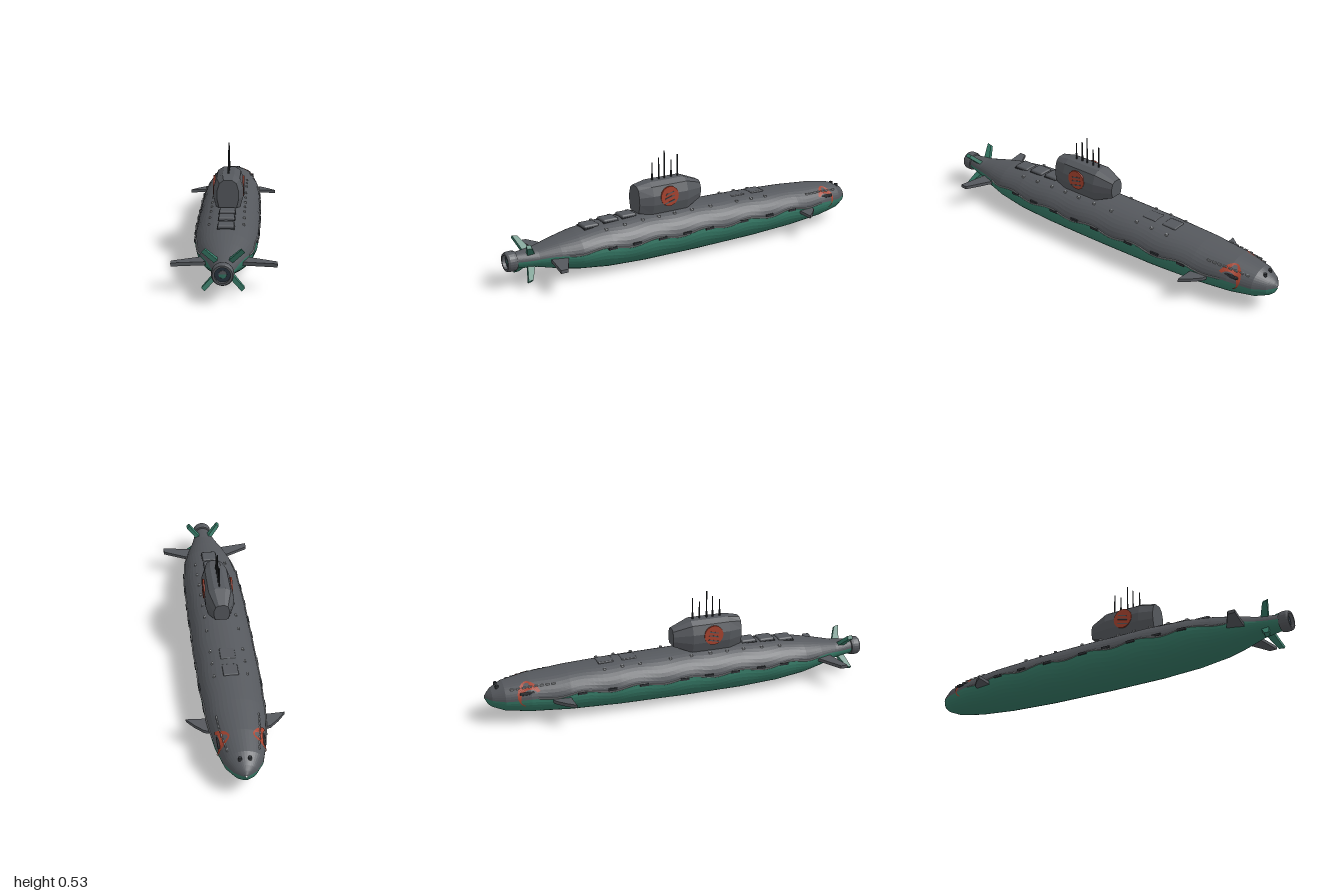
import * as THREE from 'three';
import { RoundedBoxGeometry } from 'three/addons/geometries/RoundedBoxGeometry.js';

const mat = (name, color, side = THREE.FrontSide) => {
  const m = new THREE.MeshStandardMaterial({ color, side });
  m.name = name;
  return m;
};

// Hull stations: z, half width, top, bottom
const STATIONS = [
  [-1, 0.004, 0.135, 0.122], [-0.985, 0.03, 0.152, 0.092], [-0.968, 0.053, 0.168, 0.078],
  [-0.91, 0.09, 0.197, 0.054], [-0.79, 0.12, 0.217, 0.035], [-0.6, 0.142, 0.231, 0.019],
  [-0.35, 0.152, 0.241, 0.008], [0, 0.153, 0.247, 0.002], [0.3, 0.152, 0.246, 0.003],
  [0.5, 0.145, 0.236, 0.012], [0.65, 0.126, 0.217, 0.03], [0.75, 0.1, 0.196, 0.051],
  [0.85, 0.066, 0.172, 0.077], [0.95, 0.04, 0.163, 0.087], [0.984, 0.017, 0.142, 0.108],
  [0.985, 0.0005, 0.1255, 0.1245],
];

function hullAt(z) {
  let i = 0;
  while (i < STATIONS.length - 2 && z > STATIONS[i + 1][0]) i++;
  const a = STATIONS[i], b = STATIONS[i + 1];
  const t = (z - a[0]) / (b[0] - a[0]);
  const [w, top, bottom] = [1, 2, 3].map(k => a[k] + (b[k] - a[k]) * t);
  return { w, cy: (top + bottom) / 2, h: (top - bottom) / 2 };
}
function sideX(y, z) {
  const { w, cy, h } = hullAt(z);
  return w * Math.sqrt(Math.max(0, 1 - ((y - cy) / h) ** 2));
}
function deckY(x, z) {
  const { w, cy, h } = hullAt(z);
  return cy + h * Math.sqrt(Math.max(0, 1 - (x / w) ** 2));
}
// Height of the wavy paint line
function paintY(z) {
  const e = 1 - THREE.MathUtils.smoothstep(Math.abs(z), 0.6, 0.95);
  return 0.126 + e * (0.012 + 0.009 * Math.cos((z * Math.PI * 2) / 0.27));
}

// Flat-shaded skin over rings of points running towards +z
function loft(rings, closed = false) {
  const pos = [];
  const n = rings[0].length;
  for (let i = 0; i < rings.length - 1; i++) {
    for (let j = 0; j < (closed ? n : n - 1); j++) {
      const k = (j + 1) % n;
      const a = rings[i][j], b = rings[i][k], c = rings[i + 1][k], d = rings[i + 1][j];
      pos.push(...a, ...b, ...c, ...a, ...c, ...d);
    }
  }
  const g = new THREE.BufferGeometry();
  g.setAttribute('position', new THREE.Float32BufferAttribute(pos, 3));
  g.computeVertexNormals();
  return g;
}

// Flat fin: outline in (span, z), thickness in y
function finGeometry(points, thickness) {
  const shape = new THREE.Shape(points.map(p => new THREE.Vector2(...p)));
  const g = new THREE.ExtrudeGeometry(shape, { depth: thickness, bevelEnabled: false });
  return g.translate(0, 0, -thickness / 2).rotateX(Math.PI / 2);
}

export function createModel() {
  const model = new THREE.Group();
  model.name = 'submarine';
  const grey = mat('hull grey', 0x55585d);
  const green = mat('lower hull green', 0x357865);
  const dark = mat('dark fittings', 0x2f3236);
  const navy = mat('nozzle navy', 0x27333d);
  const light = mat('light metal', 0x94979a);
  const red = mat('marking red', 0xa8432f, THREE.DoubleSide);
  const add = (name, geometry, material, x = 0, y = 0, z = 0) => {
    const m = new THREE.Mesh(geometry, material);
    m.name = name;
    m.position.set(x, y, z);
    model.add(m);
    return m;
  };

  // Hull, split along the paint line
  const zs = STATIONS.map(s => s[0]);
  for (let i = -38; i < 38; i++) zs.push(i * 0.025 + 0.0125);
  zs.sort((a, b) => a - b);
  const arcRings = upper => zs.map(z => {
    const { w, cy, h } = hullAt(z);
    const a = Math.asin(THREE.MathUtils.clamp((paintY(z) - cy) / h, -0.9, 0.9));
    const start = upper ? a : Math.PI - a;
    const span = upper ? Math.PI - 2 * a : Math.PI + 2 * a;
    return Array.from({ length: 21 }, (_, j) => {
      const t = start + (span * j) / 20;
      return [w * Math.cos(t), cy + h * Math.sin(t), z];
    });
  });
  add('upperHull', loft(arcRings(true)), grey);
  add('lowerHull', loft(arcRings(false)), green);

  // Propeller duct around the tail
  const duct = [[0.034, 0.95], [0.046, 0.952], [0.049, 0.965], [0.048, 0.99], [0.043, 1], [0.034, 1], [0.034, 0.95]];
  add('tailDuct', new THREE.LatheGeometry(duct.map(p => new THREE.Vector2(...p)).reverse(), 24)
    .rotateX(Math.PI / 2).toNonIndexed(), mat('duct grey', 0x55585d, THREE.DoubleSide), 0, 0.125, 0)
    .geometry.computeVertexNormals();
  add('ductInterior', new THREE.RingGeometry(0.015, 0.035, 24), navy, 0, 0.125, 0.983);

  // Sail from scaled cross-sections
  const half = [[0.058, 0.235], [0.072, 0.285], [0.072, 0.33], [0.056, 0.375], [0.028, 0.393]];
  const outline = [...half, ...half.map(([x, y]) => [-x, y]).reverse()];
  const sailRing = ([z, sx, sy]) => outline.map(([x, y]) => [x * sx, 0.312 + (y - 0.312) * sy, z]);
  add('sail', loft([[-0.05, 0, 0], [-0.05, 0.55, 0.55], [0.045, 1, 1], [0.24, 1, 1], [0.31, 0.72, 0.84], [0.31, 0, 0]]
    .map(sailRing), true), grey);

  // Masts
  [[0.209, 0.48], [0.171, 0.5], [0.139, 0.531], [0.1, 0.48], [0.064, 0.502]].forEach(([z, top]) => {
    add('mastBase', new THREE.CylinderGeometry(0.0045, 0.0045, 0.04, 8), dark, 0, 0.405, z);
    add('mast', new THREE.CylinderGeometry(0.0028, 0.0035, top - 0.39, 8), dark, 0, (top + 0.39) / 2, z);
  });

  // X-shaped tail fins
  const tailFin = finGeometry([[0.035, 0.86], [0.118, 0.9], [0.122, 0.925], [0.035, 0.9]], 0.02);
  for (let i = 0; i < 4; i++) {
    const f = add('diagonalFin', tailFin, green, 0, 0.125, 0);
    f.rotation.z = Math.PI / 4 + (i * Math.PI) / 2;
  }

  // Horizontal planes
  const frontPlane = finGeometry([[0.06, 0.71], [0.1, 0.72], [0.233, 0.79], [0.233, 0.826], [0.06, 0.798]], 0.016);
  const rearPlane = finGeometry([[0.1, -0.7], [0.155, -0.685], [0.197, -0.645], [0.233, -0.6], [0.1, -0.608]], 0.016);
  for (const turn of [0, Math.PI]) {
    add('frontPlane', frontPlane, grey, 0, 0.118, 0).rotation.z = turn;
    add('rearPlane', rearPlane, grey, 0, 0.118, 0).rotation.z = turn;
  }

  // Deck hatches
  [0.565, 0.46, 0.36].forEach(z => {
    add('deckHatch', new RoundedBoxGeometry(0.076, 0.022, 0.08, 1, 0.008), grey, 0, deckY(0, z) - 0.001, z);
    add('hatchSeal', new THREE.BoxGeometry(0.08, 0.008, 0.084), dark, 0, deckY(0, z) - 0.006, z);
  });
  [-0.4, -0.28].forEach((z, i) =>
    add('rearHatch', new RoundedBoxGeometry(0.074, 0.014, 0.078, 1, 0.005), grey, 0, deckY(0, z) - 0.003 - i * 0.003, z));

  const crescentGeometry = s => {
    // Curved marking laid over the hull side
    const rings = [[], []];
    for (let i = 0; i <= 24; i++) {
      const t = i / 24, a = 2.75 - t * 3.9;
      const width = 0.005 + 0.024 * Math.sin(Math.PI * Math.min(1, t + 0.12));
      [0.056, 0.056 - width].forEach((r, k) => {
        const z = -0.8 - r * Math.cos(a), y = 0.15 + r * Math.sin(a);
        rings[k].push([s * (sideX(y, z) + 0.004), y, z]);
      });
    }
    return loft(rings);
  };

  for (const s of [-1, 1]) {
    // Bead along the paint line
    const pts = [];
    for (let i = 0; i <= 80; i++) {
      const z = -0.76 + (i / 80) * 1.48, y = paintY(z) + 0.002;
      pts.push(new THREE.Vector3(s * (sideX(y, z) + 0.001), y, z));
    }
    add('waveTrim', new THREE.TubeGeometry(new THREE.CatmullRomCurve3(pts), 160, 0.0038, 5), light);

    // Side vents
    [0.51, 0.38, 0.24, 0.1, -0.03, -0.24, -0.4, -0.55].forEach(z =>
      add('sideVent', new THREE.BoxGeometry(0.012, 0.012, 0.045), dark, s * sideX(0.142, z), 0.142, z));

    // Deck cleats
    [-0.42, -0.33, -0.24, -0.08, 0.03, 0.13, 0.22, 0.31, 0.41, 0.51].forEach(z =>
      add('deckCleat', new THREE.BoxGeometry(0.01, 0.012, 0.013), light, s * 0.08, deckY(0.08, z) + 0.001, z));

    // Stern rail and knobs
    for (let i = 0; i < 8; i++) {
      const z = -0.68 - i * 0.028, x = hullAt(z).w * 0.74;
      add('sternRail', new THREE.BoxGeometry(0.006, 0.008, 0.018), light, s * x, deckY(x, z) + 0.001, z);
    }
    add('sternKnob', new THREE.CylinderGeometry(0.009, 0.009, 0.022, 8), dark, s * 0.022, deckY(0.022, -0.94), -0.94);
    add('sternVent', new RoundedBoxGeometry(0.012, 0.014, 0.07, 1, 0.004), dark,
      s * hullAt(-0.81).w * 0.91, deckY(hullAt(-0.81).w * 0.91, -0.81), -0.81);

    // Sail roundel with slanted bars
    add('sailRoundel', new THREE.CylinderGeometry(0.05, 0.05, 0.008, 24).rotateZ(Math.PI / 2), red, s * 0.071, 0.32, 0.152);
    [-0.024, 0, 0.02].forEach((dy, i) => {
      const bar = add('roundelBar', new THREE.BoxGeometry(0.002, 0.006, 0.06 - i * 0.006), grey, s * 0.0755, 0.315 + dy, 0.152);
      bar.rotation.x = 0.25;
    });

    add('sternCrescent', crescentGeometry(s), red);
  }
  return model;
}
